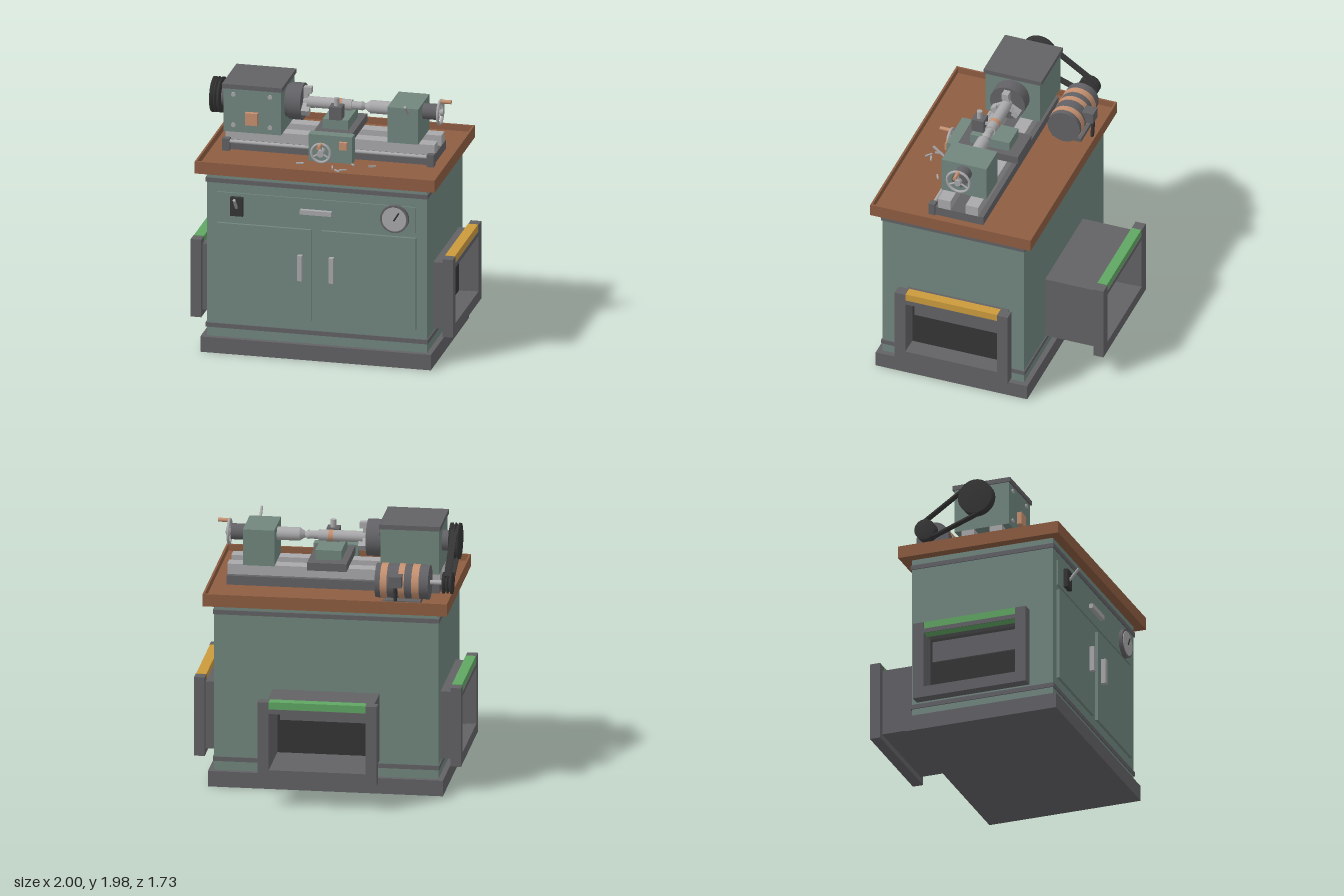
import * as THREE from 'three';

const mat = (name, color) => Object.assign(new THREE.MeshStandardMaterial({ color }), { name });
const M = {
  green: mat('cabinet green', 0x71877e), dark: mat('dark grey', 0x626165), black: mat('black', 0x353536),
  steel: mat('light steel', 0xa9a9ab), wood: mat('brown tray', 0x8e5d42), copper: mat('copper', 0xc59070),
  yellow: mat('yellow', 0xcb9a3c), lime: mat('bright green', 0x5fa662),
};

export function createModel() {
  const root = new THREE.Group();
  root.name = 'benchLathe';
  const add = (name, geo, m, p = [0, 0, 0], parent = root) => {
    const mesh = new THREE.Mesh(geo, m);
    mesh.name = name;
    mesh.position.set(...p);
    parent.add(mesh);
    return mesh;
  };
  // box given by its min and max along each axis
  const box = (name, m, x0, x1, y0, y1, z0, z1, parent = root) =>
    add(name, new THREE.BoxGeometry(x1 - x0, y1 - y0, z1 - z0), m, [(x0 + x1) / 2, (y0 + y1) / 2, (z0 + z1) / 2], parent);
  // cylinder or cone between two points
  const rod = (name, m, a, b, r0, r1 = r0, parent = root, seg = 32) => {
    const A = new THREE.Vector3(...a), B = new THREE.Vector3(...b), d = B.clone().sub(A);
    const mesh = add(name, new THREE.CylinderGeometry(r1, r0, d.length(), seg), m, A.clone().add(B).multiplyScalar(0.5).toArray(), parent);
    mesh.quaternion.setFromUnitVectors(new THREE.Vector3(0, 1, 0), d.normalize());
    return mesh;
  };

  // Cabinet
  box('plinth', M.dark, -0.88, 0.88, 0, 0.12, -0.42, 0.78);
  box('cabinet', M.green, -0.84, 0.84, 0.12, 1.41, -0.38, 0.74);
  for (const y of [0.19, 1.33]) box('trimBand', M.dark, -0.848, 0.848, y, y + 0.034, -0.388, 0.748);
  box('drawerFront', M.green, -0.76, 0.757, 1.06, 1.26, 0.74, 0.752);
  for (const s of [-1, 1]) {
    const c = s * 0.4;
    box('door', M.green, c - 0.36, c + 0.36, 0.3, 1.02, 0.74, 0.762);
    box('doorHandle', M.steel, s * 0.12 - 0.018, s * 0.12 + 0.018, 0.625, 0.822, 0.76, 0.8);
  }
  box('drawerHandle', M.steel, -0.12, 0.12, 1.145, 1.18, 0.75, 0.785);
  box('switchPlate', M.black, -0.652, -0.555, 1.09, 1.235, 0.75, 0.785);
  rod('switchLever', M.steel, [-0.604, 1.155, 0.78], [-0.604, 1.24, 0.855], 0.011);
  rod('gaugeBody', M.dark, [0.6, 1.165, 0.75], [0.6, 1.165, 0.782], 0.108);
  rod('gaugeFace', M.steel, [0.6, 1.165, 0.782], [0.6, 1.165, 0.787], 0.093);
  rod('gaugeNeedle', M.black, [0.598, 1.155, 0.788], [0.637, 1.218, 0.788], 0.006, 0.006, root, 8);

  // Tray top with a thin raised rim
  box('trayFloor', M.wood, -0.915, 0.915, 1.41, 1.455, -0.46, 0.81);
  for (const s of [-1, 1]) {
    box('traySideRim', M.wood, s * 0.9075 - 0.0075, s * 0.9075 + 0.0075, 1.455, 1.505, -0.46, 0.81);
    const z = 0.175 + s * 0.6275;
    box('trayLongRim', M.wood, -0.9, 0.9, 1.455, 1.505, z - 0.0075, z + 0.0075);
  }

  // Open hoppers, each facing local +z with the flange front at z = 0
  const hopper = (name, depth, strip, p, turn) => {
    const g = new THREE.Group();
    g.name = name;
    g.position.set(...p);
    g.rotation.y = turn;
    root.add(g);
    const e = -0.08 - depth;
    for (const s of [-1, 1]) {
      box('flangePost', M.dark, s * 0.405 - 0.0425, s * 0.405 + 0.0425, 0.2, 0.81, -0.08, 0, g);
      box('tunnelSide', M.dark, s * 0.382 - 0.018, s * 0.382 + 0.018, 0.245, 0.765, e, -0.08, g);
    }
    box('flangeSill', M.dark, -0.3625, 0.3625, 0.2, 0.285, -0.08, 0, g);
    box('colourStrip', strip, -0.3625, 0.3625, 0.722, 0.812, -0.08, -0.004, g);
    box('lintelFace', M.dark, -0.3625, 0.3625, 0.722, 0.757, -0.004, 0, g);
    box('tunnelRoof', M.dark, -0.364, 0.364, 0.73, 0.765, e, -0.08, g);
    box('tunnelFloor', M.dark, -0.364, 0.364, 0.245, 0.28, e, -0.08, g);
    box('tunnelBack', M.black, -0.364, 0.364, 0.28, 0.73, e, e + 0.01, g);
    box('baffle', M.dark, -0.342, 0.342, 0.537, 0.7, e + 0.01, e + 0.025, g);
  };
  hopper('rightHopper', 0.08, M.yellow, [1, 0, 0.1375], Math.PI / 2);
  hopper('leftHopper', 0.08, M.lime, [-1, 0, 0.1375], -Math.PI / 2);
  hopper('rearHopper', 0.4, M.lime, [0, 0, -0.862], Math.PI);

  // Bed, ways and lead screw
  const Y = 1.81, Z = 0.155;
  box('bedBase', M.dark, -0.8, 0.795, 1.455, 1.525, -0.04, 0.345);
  for (const z of [0, 0.22]) box('bedWay', M.steel, -0.8, 0.795, 1.525, 1.605, z, z + 0.1);
  rod('leadScrew', M.steel, [-0.78, 1.525, 0.365], [0.78, 1.525, 0.365], 0.014);
  for (const x of [-0.78, 0.78]) box('screwBracket', M.dark, x - 0.027, x + 0.027, 1.455, 1.55, 0.34, 0.39);

  // Headstock
  box('headstock', M.green, -0.8, -0.362, 1.605, 1.945, -0.055, 0.375);
  box('headstockLid', M.dark, -0.81, -0.353, 1.945, 1.98, -0.07, 0.388);
  box('headstockPlate', M.copper, -0.63, -0.535, 1.675, 1.77, 0.375, 0.41);
  for (const x of [-0.725, -0.445]) for (const y of [1.66, 1.9])
    rod('headstockBolt', M.steel, [x, y, 0.37], [x, y, 0.385], 0.017);
  rod('spindleHousing', M.dark, [-0.86, Y, Z], [-0.8, Y, Z], 0.078);

  // Chuck with three stepped jaws, and the workpiece
  rod('chuckBackPlate', M.dark, [-0.365, Y, Z], [-0.338, Y, Z], 0.125);
  rod('chuck', M.dark, [-0.338, Y, Z], [-0.238, Y, Z], 0.138, 0.138, root, 48);
  for (let i = 0; i < 3; i++) {
    const jaw = new THREE.Group();
    jaw.name = 'chuckJaw';
    jaw.position.set(0, Y, Z);
    jaw.rotation.x = i * Math.PI * 2 / 3;
    root.add(jaw);
    box('jawOuter', M.steel, -0.24, -0.178, 0.07, 0.118, -0.025, 0.025, jaw);
    box('jawInner', M.steel, -0.24, -0.205, 0.035, 0.07, -0.025, 0.025, jaw);
  }
  rod('workpiece', M.steel, [-0.24, Y, Z], [0.13, Y, Z], 0.042);
  rod('workpieceNeck', M.steel, [0.13, Y, Z], [0.205, Y, Z], 0.031);
  rod('workpieceTip', M.steel, [0.205, Y, Z], [0.255, Y, Z], 0.036, 0.008);
  rod('liveCentre', M.steel, [0.21, Y, Z], [0.27, Y, Z], 0.008, 0.048);
  rod('quill', M.steel, [0.27, Y, Z], [0.45, Y, Z], 0.05);

  // Carriage: saddle, cross slide, tool post and apron
  box('saddle', M.dark, -0.11, 0.185, 1.605, 1.665, -0.085, 0.4);
  box('crossSlide', M.green, -0.06, 0.135, 1.665, 1.74, 0, 0.31);
  box('toolPost', M.dark, -0.01, 0.085, 1.74, 1.84, 0.225, 0.32);
  rod('toolPostBolt', M.steel, [0.0375, 1.84, 0.272], [0.0375, 1.9, 0.272], 0.021);
  box('toolBit', M.steel, 0.028, 0.048, 1.79, 1.81, 0.18, 0.23);
  rod('cutRing', M.copper, [0.02, Y, Z], [0.055, Y, Z], 0.044);
  box('apron', M.green, -0.13, 0.205, 1.46, 1.67, 0.39, 0.472);
  box('apronKnob', M.copper, 0.11, 0.168, 1.572, 1.63, 0.472, 0.5);

  // Handwheels, built facing local +z
  const handwheel = (name, p, turn, r) => {
    const g = new THREE.Group();
    g.name = name;
    g.position.set(...p);
    g.rotation.y = turn;
    root.add(g);
    add('rim', new THREE.TorusGeometry(r - 0.011, 0.011, 10, 40), M.steel, [0, 0, 0], g);
    rod('hub', M.steel, [0, 0, -0.05], [0, 0, 0.025], 0.026, 0.026, g);
    for (let i = 0; i < 3; i++) {
      const a = Math.PI / 2 + i * Math.PI * 2 / 3;
      rod('spoke', M.steel, [0, 0, 0], [Math.cos(a) * (r - 0.01), Math.sin(a) * (r - 0.01), 0], 0.008, 0.008, g, 12);
    }
    rod('crank', M.copper, [0, r - 0.015, 0], [0, r - 0.015, 0.085], 0.015, 0.015, g, 16);
  };
  handwheel('apronHandwheel', [-0.022, 1.545, 0.522], 0, 0.082);
  handwheel('tailstockHandwheel', [0.8, Y, Z], Math.PI / 2, 0.1);

  // Tailstock
  box('tailstock', M.green, 0.44, 0.675, 1.605, 1.882, -0.02, 0.335);
  rod('tailstockBarrel', M.dark, [0.675, Y, Z], [0.785, Y, Z], 0.06);
  rod('clampLever', M.steel, [0.597, 1.845, 0.33], [0.597, 1.925, 0.43], 0.01);

  // Motor with copper bands, foot and terminal box
  const my = 1.605, mz = -0.245;
  rod('motorBody', M.dark, [-0.76, my, mz], [-0.36, my, mz], 0.128, 0.128, root, 40);
  for (const [a, b] of [[-0.69, -0.635], [-0.58, -0.535], [-0.45, -0.4]])
    rod('motorBand', M.copper, [a, my, mz], [b, my, mz], 0.132, 0.132, root, 40);
  rod('motorShaft', M.steel, [-0.87, my, mz], [-0.76, my, mz], 0.018);
  box('motorFoot', M.dark, -0.7, -0.42, 1.455, 1.485, -0.36, -0.13);
  box('terminalBox', M.dark, -0.57, -0.475, 1.605, 1.69, -0.435, -0.345);
  rod('motorCable', M.black, [-0.522, 1.455, -0.41], [-0.522, 1.61, -0.42], 0.014);

  // Grooved pulleys and the drive belt
  const pulley = (name, r, y, z) => {
    const profile = [[0, 0], [r, 0], [r, 0.016], [r - 0.016, 0.024], [r - 0.016, 0.03], [r, 0.036],
      [r, 0.042], [r - 0.016, 0.048], [r - 0.016, 0.054], [r, 0.062], [r, 0.078], [0, 0.078]];
    const geo = new THREE.LatheGeometry(profile.map(q => new THREE.Vector2(...q)), 48);
    add(name, geo, M.black, [-0.855, y, z]).rotation.z = Math.PI / 2;
  };
  pulley('spindlePulley', 0.134, Y, Z);
  pulley('motorPulley', 0.08, my, mz);
  const dz = mz - Z, dy = my - Y, len = Math.hypot(dz, dy), rA = 0.125, rB = 0.072;
  const c = (rA - rB) / len, k = Math.sqrt(1 - c * c);
  for (const s of [-1, 1]) {
    const nz = (dz * c - s * dy * k) / len, ny = (dy * c + s * dz * k) / len;
    const a = [Z + nz * rA, Y + ny * rA], b = [mz + nz * rB, my + ny * rB];
    const belt = add('driveBelt', new THREE.BoxGeometry(0.05, 0.014, Math.hypot(b[0] - a[0], b[1] - a[1])), M.black,
      [-0.894, (a[1] + b[1]) / 2, (a[0] + b[0]) / 2]);
    belt.rotation.x = Math.atan2(-(b[1] - a[1]), b[0] - a[0]);
  }

  // Metal chips on the tray
  [[-0.18, 0.54, 0.2], [0.08, 0.58, 1.8], [0.13, 0.64, -0.7], [0.165, 0.61, 0.3], [0.36, 0.485, 0.4], [0.21, 0.48, -1]].forEach(([x, z, a]) => {
    add('metalChip', new THREE.BoxGeometry(0.055, 0.01, 0.012), M.steel, [x, 1.46, z]).rotation.y = a;
  });
  return root;
}
